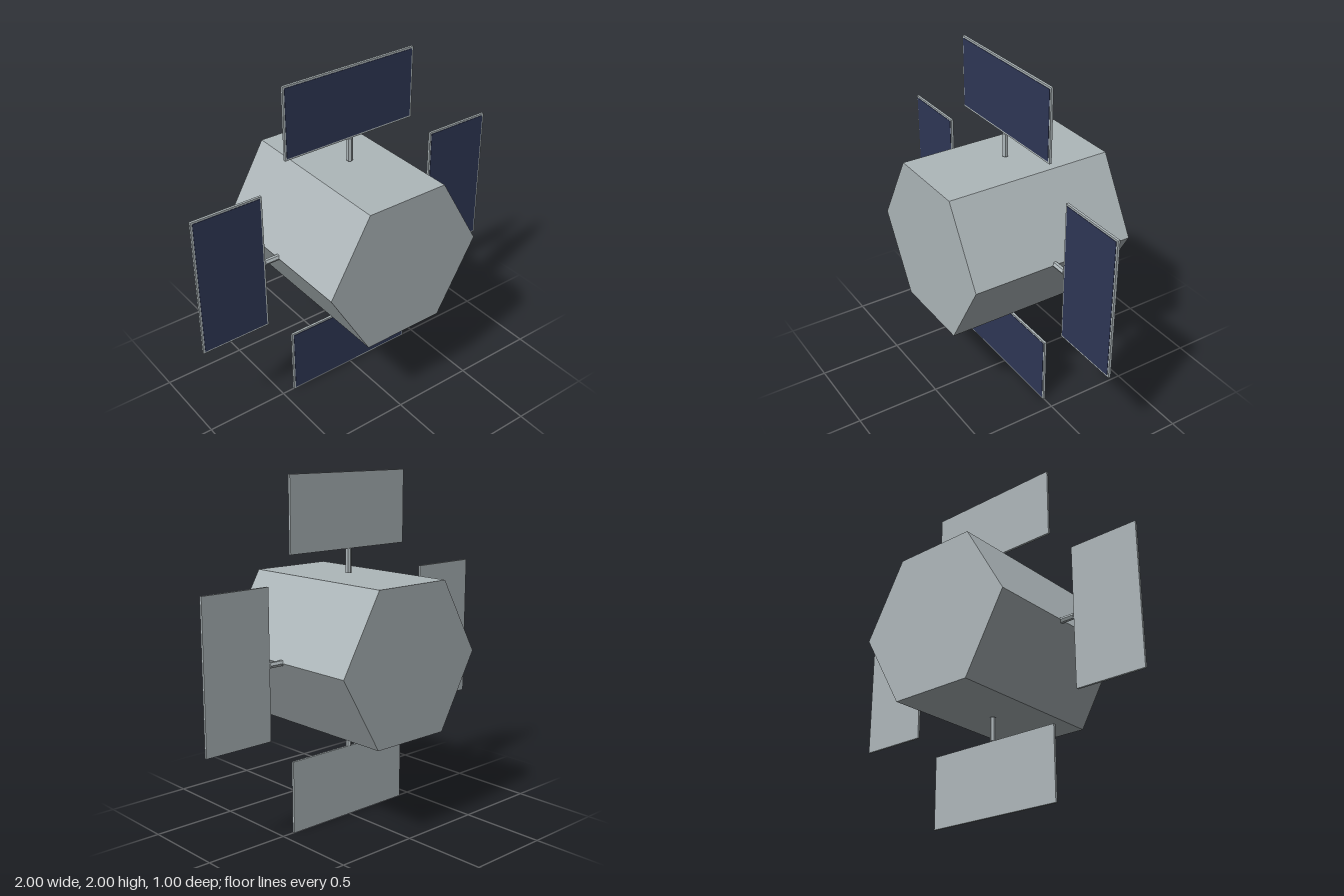
import * as THREE from 'three';

const BODY_RADIUS = 0.497, BODY_DEPTH = 1.0;
const PANEL_W = 0.848, PANEL_H = 0.422, PANEL_T = 0.014, RIM = 0.011;
const PANEL_START = 0.578, ARM_START = 0.44, ARM_RADIUS = 0.017;

function material(name, color) {
  const m = new THREE.MeshStandardMaterial({ color, flatShading: true });
  m.name = name;
  return m;
}

function part(name, geometry, mat, parent) {
  const mesh = new THREE.Mesh(geometry, mat);
  mesh.name = name;
  parent.add(mesh);
  return mesh;
}

export function createModel() {
  const model = new THREE.Group();
  model.name = 'satellite';
  const metal = material('greyMetal', 0xaeb7ba);
  const cells = material('solarBlue', 0x2f3756);

  // Hexagonal body, axis along z, corners pointing left and right
  const bodyGeo = new THREE.CylinderGeometry(BODY_RADIUS, BODY_RADIUS, BODY_DEPTH, 6);
  bodyGeo.rotateY(Math.PI / 2).rotateX(Math.PI / 2);
  part('body', bodyGeo, metal, model).position.y = 1;

  // Four solar wings, each an arm with a framed panel, spaced around the body
  const armLength = PANEL_START - ARM_START;
  const armGeo = new THREE.CylinderGeometry(ARM_RADIUS, ARM_RADIUS, armLength, 6);
  const frameGeo = new THREE.BoxGeometry(PANEL_W, PANEL_H, PANEL_T);
  const cellGeo = new THREE.BoxGeometry(PANEL_W - 2 * RIM, PANEL_H - 2 * RIM, 0.002);
  const panelY = PANEL_START + PANEL_H / 2;
  ['top', 'left', 'bottom', 'right'].forEach((side, i) => {
    const wing = new THREE.Group();
    wing.name = side + 'SolarWing';
    wing.position.y = 1;
    wing.rotation.z = -i * Math.PI / 2;
    part('arm', armGeo, metal, wing).position.y = ARM_START + armLength / 2;
    part('panelFrame', frameGeo, metal, wing).position.y = panelY;
    // Solar cells on the front only
    part('solarCells', cellGeo, cells, wing).position.set(0, panelY, PANEL_T / 2 + 0.001);
    model.add(wing);
  });

  return model;
}
